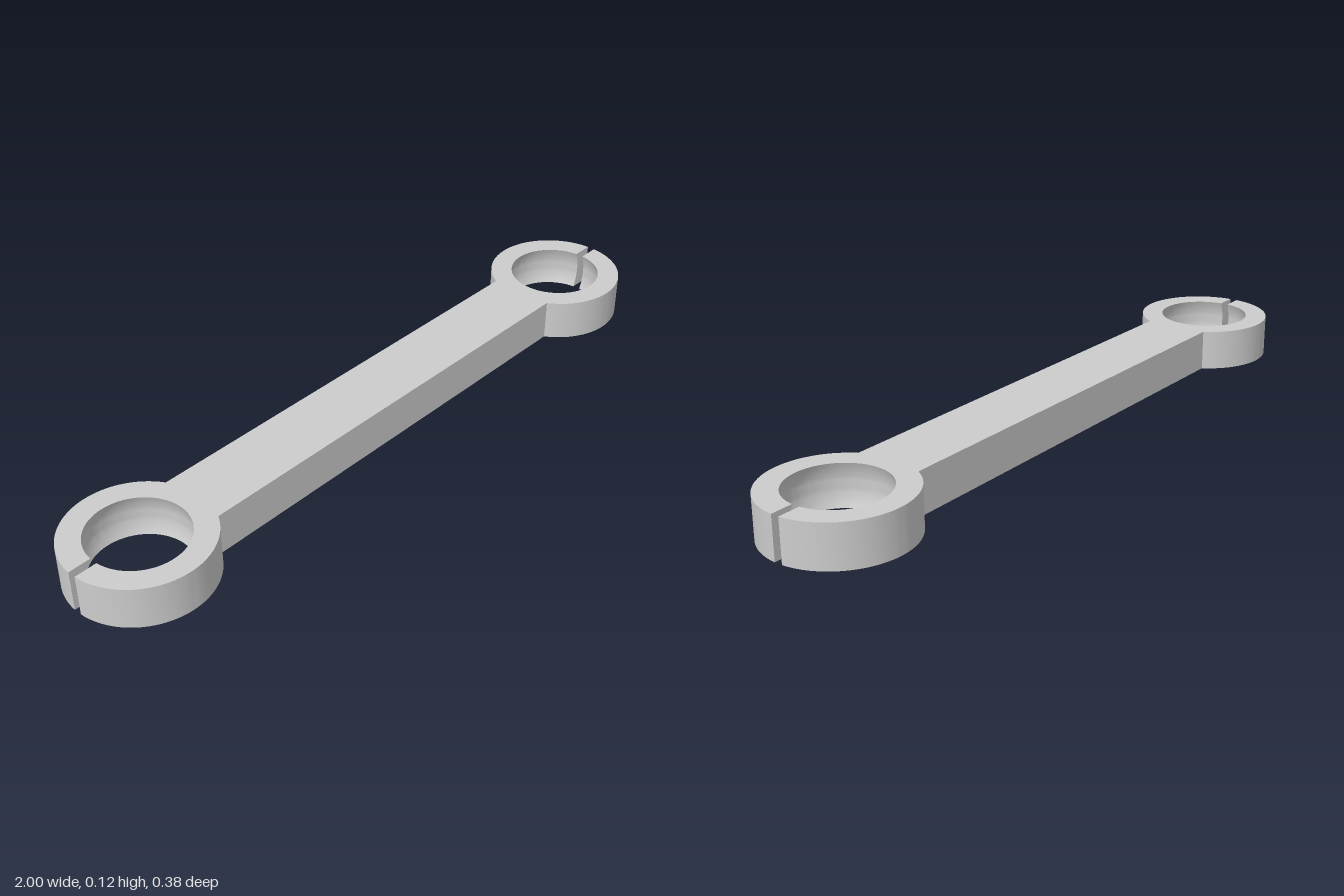
import * as THREE from 'three';
import { toCreasedNormals } from 'three/addons/utils/BufferGeometryUtils.js';

const H = 0.115;      // thickness
const R = 0.19;       // ring outer radius
const BORE = 0.129;   // socket opening radius
const C = 0.81;       // ring centre
const ARM = 0.0935;   // arm half width
const SLOT = 0.011;   // slot half width

// Ring cross-section (radius, height): straight outside, spherical socket inside
function ringProfile() {
  const points = [new THREE.Vector2(R, -H / 2), new THREE.Vector2(R, H / 2)];
  const ball = Math.hypot(BORE, H / 2), tilt = Math.atan2(H / 2, BORE), steps = 12;
  for (let i = 0; i <= steps; i++) {
    const a = tilt * (1 - 2 * i / steps);
    points.push(new THREE.Vector2(ball * Math.cos(a), ball * Math.sin(a)));
  }
  return points;
}

// Lathe whose ends are pulled back to leave a parallel-sided slot at +x
function ringGeometry(profile) {
  const segments = 96, loop = [...profile, profile[0].clone()];
  const geo = new THREE.LatheGeometry(loop, segments);
  const pos = geo.attributes.position;
  for (let i = 0; i <= segments; i++) {
    loop.forEach((p, j) => {
      const gap = Math.asin(SLOT / p.x);
      const a = gap + (i / segments) * 2 * (Math.PI - gap);
      pos.setXYZ(i * loop.length + j, p.x * Math.cos(a), p.y, -p.x * Math.sin(a));
    });
  }
  return toCreasedNormals(geo, 0.5);
}

// Flat wall closing one side of the slot
function slotWallGeometry(profile) {
  const flat = profile.map(p => new THREE.Vector2(Math.sqrt(p.x * p.x - SLOT * SLOT), p.y));
  return new THREE.ShapeGeometry(new THREE.Shape(flat)).translate(0, 0, -SLOT);
}

// Bar with ends hollowed to fit the rings
function armGeometry() {
  const a = Math.asin(ARM / R), shape = new THREE.Shape();
  shape.absarc(C, 0, R, Math.PI + a, Math.PI - a, true);
  shape.absarc(-C, 0, R, a, -a, true);
  shape.closePath();
  const geo = new THREE.ExtrudeGeometry(shape, { depth: H, bevelEnabled: false, curveSegments: 16 });
  return geo.rotateX(-Math.PI / 2);
}

export function createModel() {
  const model = new THREE.Group();
  model.name = 'doubleSocketLink';
  const grey = new THREE.MeshStandardMaterial({ color: 0xcccccc });
  grey.name = 'light grey';

  const add = (parent, name, geo) => {
    const mesh = new THREE.Mesh(geo, grey);
    mesh.name = name;
    parent.add(mesh);
    return mesh;
  };

  add(model, 'arm', armGeometry());

  // Split socket ring at each end, slots facing outward
  const profile = ringProfile();
  const ring = ringGeometry(profile), wall = slotWallGeometry(profile);
  for (const side of [1, -1]) {
    const socket = new THREE.Group();
    socket.name = side > 0 ? 'leftSocket' : 'rightSocket';
    add(socket, 'socketRing', ring);
    add(socket, 'slotWallBack', wall);
    add(socket, 'slotWallFront', wall).rotation.x = Math.PI;
    socket.position.set(side * C, H / 2, 0);
    if (side < 0) socket.rotation.y = Math.PI;
    model.add(socket);
  }
  return model;
}
